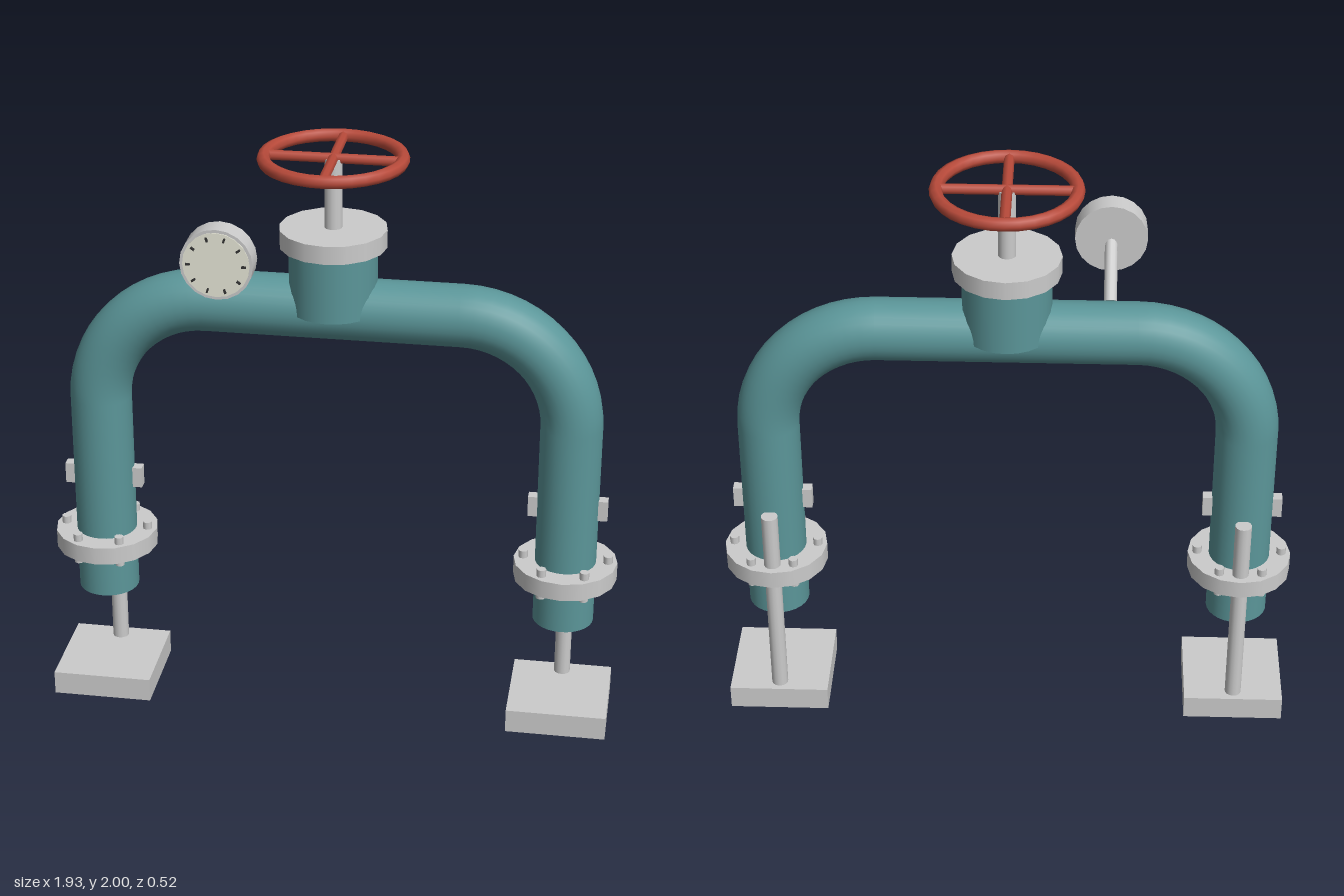
import * as THREE from 'three';

const grey = new THREE.MeshStandardMaterial({ color: 0xcccccc });
const teal = new THREE.MeshStandardMaterial({ color: 0x5b9699 });
const red = new THREE.MeshStandardMaterial({ color: 0xb84a3a });
const cream = new THREE.MeshStandardMaterial({ color: 0xe8e8d8 });
const dark = new THREE.MeshStandardMaterial({ color: 0x333333 });

function add(parent, name, geometry, material, x = 0, y = 0, z = 0) {
  const mesh = new THREE.Mesh(geometry, material);
  mesh.name = name;
  mesh.position.set(x, y, z);
  parent.add(mesh);
  return mesh;
}

// Upright cylinder between two heights
function post(parent, name, r, y0, y1, material, sides = 16, x = 0, z = 0) {
  return add(parent, name, new THREE.CylinderGeometry(r, r, y1 - y0, sides), material, x, (y0 + y1) / 2, z);
}

// Cylinder between two points
function rod(parent, name, a, b, r, material, sides = 12) {
  const dir = b.clone().sub(a);
  const mesh = add(parent, name, new THREE.CylinderGeometry(r, r, dir.length(), sides), material);
  mesh.position.copy(a).add(b).multiplyScalar(0.5);
  mesh.quaternion.setFromUnitVectors(new THREE.Vector3(0, 1, 0), dir.normalize());
  return mesh;
}

const LEG_X = 0.792, PIPE_R = 0.103, PIPE_Y = 1.464, BEND = 0.37;

function createLeg(side) {
  const leg = new THREE.Group();
  leg.name = side > 0 ? 'leftLeg' : 'rightLeg';
  leg.position.x = side * LEG_X;

  post(leg, 'legPipe', PIPE_R, 0.37, PIPE_Y - BEND, teal, 28);
  const bend = add(leg, 'pipeBend', new THREE.TorusGeometry(BEND, PIPE_R, 28, 14, Math.PI / 2), teal,
    -side * BEND, PIPE_Y - BEND, 0);
  if (side < 0) bend.rotation.y = Math.PI;

  // Bolted flange
  post(leg, 'flange', 0.175, 0.532, 0.594, grey, 16);
  for (let i = 0; i < 6; i++) {
    const a = (i * Math.PI) / 3;
    post(leg, 'flangeBolt', 0.016, 0.511, 0.62, grey, 8, 0.143 * Math.cos(a), 0.143 * Math.sin(a));
  }

  // Side lugs
  for (const s of [-1, 1])
    add(leg, 'lug', new THREE.BoxGeometry(0.04, 0.072, 0.037), grey, s * 0.113, 0.795, 0);

  // Support post and foot
  post(leg, 'supportPost', 0.028, 0.08, 0.795, grey, 14, 0, -0.124);
  add(leg, 'footPlate', new THREE.BoxGeometry(0.34, 0.083, 0.34), grey, 0, 0.0415, 0);
  return leg;
}

function createValve() {
  const valve = new THREE.Group();
  valve.name = 'valve';
  post(valve, 'valveBody', 0.145, 1.466, 1.69, teal, 24);
  post(valve, 'valveFlange', 0.176, 1.684, 1.745, grey, 16);
  post(valve, 'valveStem', 0.029, 1.74, 1.978, grey, 14);

  // Handwheel
  const wheel = new THREE.Group();
  wheel.name = 'handwheel';
  wheel.position.y = 1.978;
  const rim = add(wheel, 'wheelRim', new THREE.TorusGeometry(0.222, 0.022, 8, 32), red);
  rim.rotation.x = Math.PI / 2;
  const v = (x, z) => new THREE.Vector3(x, 0, z);
  rod(wheel, 'wheelSpoke', v(-0.22, 0), v(0.22, 0), 0.017, red, 8);
  rod(wheel, 'wheelSpoke', v(0, -0.22), v(0, 0.22), 0.017, red, 8);
  valve.add(wheel);
  return valve;
}

function createGauge() {
  const gauge = new THREE.Group();
  gauge.name = 'pressureGauge';
  gauge.position.x = -0.331;
  rod(gauge, 'gaugeStem', new THREE.Vector3(0, 1.543, 0.063), new THREE.Vector3(0, 1.70, 0.22), 0.021, grey);

  const head = new THREE.Group();
  head.name = 'gaugeHead';
  head.position.set(0, 1.70, 0.23);
  const body = add(head, 'gaugeCase', new THREE.CylinderGeometry(0.118, 0.118, 0.076, 20), grey);
  const face = add(head, 'gaugeFace', new THREE.CylinderGeometry(0.108, 0.108, 0.01, 20), cream, 0, 0, 0.036);
  body.rotation.x = face.rotation.x = Math.PI / 2;
  // Dial marks
  for (let i = 0; i < 10; i++) {
    const a = (i * Math.PI) / 5;
    const mark = add(head, 'dialMark', new THREE.BoxGeometry(0.014, 0.006, 0.012), dark,
      0.09 * Math.cos(a), 0.09 * Math.sin(a), 0.043);
    mark.rotation.z = a;
  }
  gauge.add(head);
  return gauge;
}

export function createModel() {
  const model = new THREE.Group();
  model.name = 'pipeArchWithValve';
  model.position.z = -0.017;

  const half = LEG_X - BEND;
  rod(model, 'topPipe', new THREE.Vector3(-half, PIPE_Y, 0), new THREE.Vector3(half, PIPE_Y, 0), PIPE_R, teal, 28);
  model.add(createLeg(1), createLeg(-1), createValve(), createGauge());

  const root = new THREE.Group();
  root.name = 'model';
  root.add(model);
  return root;
}
